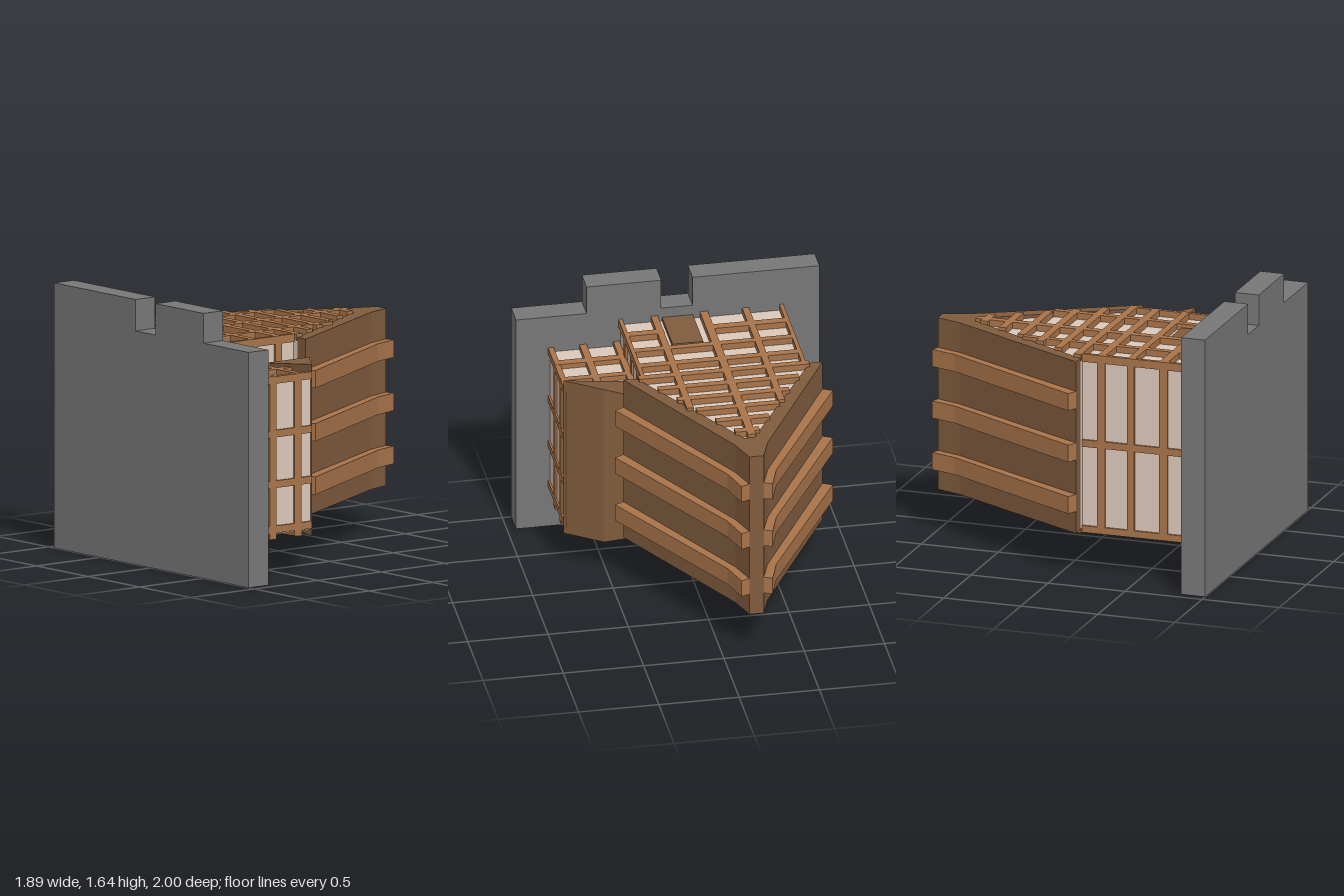
import * as THREE from 'three';
import { ConvexGeometry } from 'three/addons/geometries/ConvexGeometry.js';

const mat = (color) => new THREE.MeshStandardMaterial({ color, flatShading: true });

export function createModel() {
  const stone = mat(0x777777), timber = mat(0xa8744a), roofWood = mat(0x805c3e), plaster = mat(0xdcc8ba);
  const model = new THREE.Group();
  model.name = 'timberHouse';

  // House frame: y is the height above the plinth, z runs from back wall to front wall
  const house = new THREE.Group();
  house.name = 'house';
  house.rotation.x = -Math.PI / 2;
  house.position.z = 1;
  model.add(house);

  const add = (name, geo, material) => {
    const m = new THREE.Mesh(geo, material);
    m.name = name;
    house.add(m);
    return m;
  };
  const box = (name, material, x0, x1, y0, y1, z0, z1) =>
    add(name, new THREE.BoxGeometry(x1 - x0, y1 - y0, z1 - z0), material)
      .position.set((x0 + x1) / 2, (y0 + y1) / 2, (z0 + z1) / 2);
  const prism = (name, material, pts, z0, z1) => {
    const shape = new THREE.Shape(pts.map(([x, y]) => new THREE.Vector2(x, y)));
    const geo = new THREE.ExtrudeGeometry(shape, { depth: z1 - z0, bevelEnabled: false });
    geo.translate(0, 0, z0);
    return add(name, geo, material);
  };
  const cx = -0.207;
  const mirrored = (half) => [...half, ...half.map(([x, y]) => [-x, y]).reverse()].map(([x, y]) => [x + cx, y]);

  // Plinth with stepped front edge
  const plinth = new THREE.ExtrudeGeometry(new THREE.Shape([
    [-0.945, 0], [0.945, 0], [0.945, 1.46], [0.505, 1.46], [0.505, 1.645],
    [0.04, 1.645], [0.04, 1.45], [-0.155, 1.45], [-0.155, 1.645], [-0.945, 1.645],
  ].map(([x, y]) => new THREE.Vector2(x, y))), { depth: 0.155, bevelEnabled: false });
  plinth.rotateX(Math.PI / 2).scale(1, -1, 1);
  // Restore the winding after the flip
  const p = plinth.attributes.position;
  for (let i = 0; i < p.count; i += 3) {
    const a = new THREE.Vector3().fromBufferAttribute(p, i);
    const b = new THREE.Vector3().fromBufferAttribute(p, i + 2);
    p.setXYZ(i, b.x, b.y, b.z);
    p.setXYZ(i + 2, a.x, a.y, a.z);
  }
  plinth.computeVertexNormals();
  add('plinth', plinth, stone);

  // Main plaster body with gable, and side annex
  prism('mainWalls', plaster, mirrored([
    [0.5, 0.15], [0.5, 0.88], [0.54, 0.88], [0.03, 1.75],
  ]), 0.285, 1.36);
  box('annexWalls', plaster, 0.28, 0.733, 0.15, 0.67, 0.265, 1.215);

  // Main roof: thick flared shell, with three ribs on each slope
  prism('mainRoof', roofWood, mirrored([
    [0.03, 1.74], [0.54, 0.88], [0.62, 0.88], [0.1, 1.82], [0.045, 1.98],
  ]), 0.28, 1.38);
  const rib = [[0.045, 1.98], [0.1, 1.82], [0.62, 0.88], [0.678, 0.91], [0.152, 1.83], [0.097, 2]];
  for (const z of [0.42, 0.75, 1.08])
    for (const s of [-1, 1])
      prism('roofRib', timber, rib.map(([x, y]) => [cx + s * x, y]), z, z + 0.11);

  // Annex roof with clipped upper ends
  add('annexRoof', new ConvexGeometry([
    [0.295, 0.875, 0.05], [0.295, 0.66, 0.05], [0.52, 0.82, 0], [0.745, 0.66, 0],
  ].flatMap(([x, y, inset]) => [
    new THREE.Vector3(x, y, 0.225 + inset), new THREE.Vector3(x, y, 1.29 - inset),
  ])), roofWood);

  // Timber framing on front and back of the main body
  const lowRails = [[0.325, 0.38], [0.54, 0.585], [0.73, 0.78]];
  const gableRails = [0.88, 1.035, 1.187, 1.34, 1.495, 1.645];
  const gableHalf = (y) => 0.545 - (y - 0.88) * 0.593;
  for (const [side, z0, z1] of [['front', 1.35, 1.4], ['back', 0.257, 0.3]]) {
    lowRails.forEach(([y0, y1], i) => {
      if (side === 'front' && i === 0) {
        box('frontRail', timber, -0.71, -0.2, y0, y1, z0, z1);
        box('frontRail', timber, 0.06, 0.3, y0, y1, z0, z1);
      } else box(side + 'Rail', timber, -0.71, 0.3, y0, y1, z0, z1);
    });
    for (const y of gableRails) {
      const w = gableHalf(y + 0.025);
      box(side + 'GableRail', timber, cx - w, cx + w, y, y + 0.048, z0, z1);
    }
    for (const [x0, x1, top] of [[-0.505, -0.463, 1.34], [-0.25, -0.2, 1.735], [0.062, 0.105, 1.34],
      [-0.72, -0.695, 0.88], [0.282, 0.307, 0.88]])
      box(side + 'Post', timber, x0, x1, 0.15, top, z0, z1);
  }

  // Framing on both long sides of the main body
  for (const [x0, x1] of [[-0.72, -0.69], [0.28, 0.307]]) {
    for (const [y0, y1] of lowRails) box('sideRail', timber, x0, x1, y0, y1, 0.26, 1.395);
    box('sidePost', timber, x0, x1, 0.15, 0.88, 0.805, 0.85);
  }

  // Annex framing: ends, then outer side
  for (const [z0, z1] of [[0.235, 0.28], [1.2, 1.247]]) {
    for (const [y0, y1] of lowRails.slice(0, 2)) box('annexRail', timber, 0.3, 0.742, y0, y1, z0, z1);
    for (const [x0, x1] of [[0.3, 0.34], [0.505, 0.55]]) box('annexPost', timber, x0, x1, 0.15, 0.66, z0, z1);
  }
  for (const [y0, y1] of [[0.33, 0.38], [0.525, 0.58]])
    box('annexSideRail', timber, 0.71, 0.745, y0, y1, 0.24, 1.24);
  for (const z of [0.273, 0.553, 0.867, 1.2])
    box('annexSidePost', timber, 0.71, 0.745, 0.15, 0.66, z, z + 0.045);

  // Door
  box('door', roofWood, -0.157, 0.035, 0.15, 0.5, 1.34, 1.385);
  return model;
}
